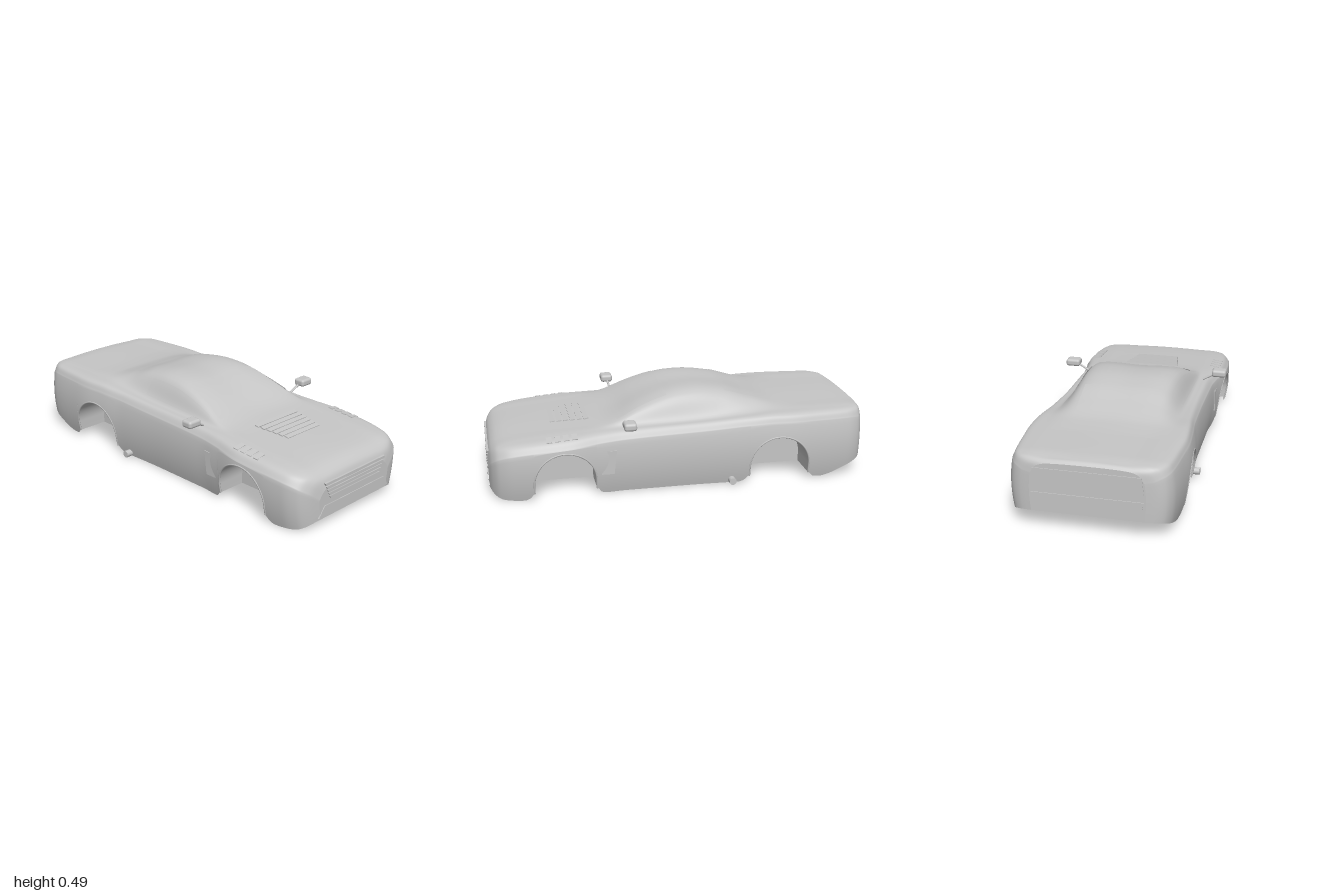
import * as THREE from 'three';
import { RoundedBoxGeometry } from 'three/addons/geometries/RoundedBoxGeometry.js';

// Smooth monotone curve through [x, value] keys
function curve(keys) {
  const n = keys.length;
  const sec = i => (keys[i + 1][1] - keys[i][1]) / (keys[i + 1][0] - keys[i][0]);
  const slope = i => {
    if (i === 0) return sec(0);
    if (i === n - 1) return sec(n - 2);
    const a = sec(i - 1), b = sec(i);
    return a * b <= 0 ? 0 : (2 * a * b) / (a + b);
  };
  return x => {
    let i = 0;
    while (i < n - 2 && x > keys[i + 1][0]) i++;
    const h = keys[i + 1][0] - keys[i][0];
    const t = Math.min(1, Math.max(0, (x - keys[i][0]) / h)), t2 = t * t, t3 = t2 * t;
    return (2 * t3 - 3 * t2 + 1) * keys[i][1] + (t3 - 2 * t2 + t) * h * slope(i)
      + (3 * t2 - 2 * t3) * keys[i + 1][1] + (t3 - t2) * h * slope(i + 1);
  };
}

// Centreline height, belt height, half widths and lower edge along the car
const topY = curve([[-1, .355], [-.985, .37], [-.9, .378], [-.7, .381], [-.55, .39], [-.4, .425], [-.25, .468],
  [-.1, .485], [0, .479], [.1, .456], [.2, .42], [.33, .362], [.4, .345], [.6, .325], [.8, .309], [.9, .296],
  [.95, .28], [.985, .25], [1, .21]]);
const beltY = curve([[-1, .345], [-.97, .366], [-.9, .374], [-.5, .376], [-.35, .367], [-.1, .352], [.2, .343],
  [.4, .334], [.6, .32], [.8, .304], [.9, .29], [.95, .272], [.985, .24], [1, .2]]);
const width = curve([[-1, .28], [-.99, .33], [-.96, .375], [-.9, .4], [-.75, .415], [-.6, .424], [-.45, .415],
  [-.3, .4], [0, .39], [.3, .39], [.42, .4], [.6, .424], [.75, .42], [.88, .405], [.95, .375], [.985, .325], [1, .27]]);
const roofZ = curve([[-1, .18], [-.6, .215], [-.3, .22], [0, .235], [.2, .257], [.35, .28], [.5, .23], [1, .2]]);
const sillY = curve([[-1, .1], [-.88, .05], [-.8, .018], [-.75, .008], [-.71, .012], [-.676, .04], [-.354, .04],
  [-.325, .012], [-.3, .005], [.4, .005], [.43, .012], [.454, .04], [.776, .04], [.8, .015], [.83, .002],
  [.93, .005], [.97, .02], [1, .045]]);

const R = 0.16, ARCHES = [[-.515, .095], [.615, .09]];
const UPPER = 32, LOWER = 12;

function lowerEdge(x) {
  for (const [cx, cy] of ARCHES) {
    const d = Math.abs(x - cx);
    if (d <= R + 1e-6) return cy + Math.sqrt(Math.max(0, R * R - d * d));
  }
  return sillY(x);
}

// Half width of the flank at height y
const sideZ = (x, y) => width(x) - (y < .2 ? .028 * ((.2 - y) / .2) ** 2 : .008 * ((y - .2) / .1) ** 2);
const flankTop = x => beltY(x) - .05;

// Upper cross-section: u = 0 centre, 1 roof edge, 2 belt, 3 shoulder, 4 top of flank
function section(x) {
  const c = topY(x), b = beltY(x), w = width(x);
  const zb = Math.min(.312, w - .06), zr = Math.min(roofZ(x), zb - .03);
  const yr = Math.max(b + .002, c - .004 - .1 * Math.max(0, c - .38));
  const yf = flankTop(x);
  const pts = [[-zr, yr], [0, c], [zr, yr], [zb, b], [w - .034, b - .012], [sideZ(x, yf), yf]];
  const spline = new THREE.CatmullRomCurve3(pts.map(([z, y]) => new THREE.Vector3(x, y, z)));
  return u => spline.getPoint((1 + u) / 5);
}

// Half outline from the lower edge up to the centre
function outline(x) {
  const at = section(x), yf = flankTop(x), y0 = Math.min(lowerEdge(x), yf - .002), pts = [];
  for (let k = 0; k < LOWER; k++) {
    const y = y0 + (yf - y0) * k / LOWER;
    pts.push([x, y, sideZ(x, y)]);
  }
  for (let k = 0; k <= UPPER; k++) {
    const p = at(4 - 4 * k / UPPER);
    pts.push([x, p.y, k === UPPER ? 0 : p.z]);
  }
  return pts;
}

// Surface from a grid of points
function grid(rows) {
  const m = rows[0].length, index = [];
  for (let i = 0; i < rows.length - 1; i++) for (let j = 0; j < m - 1; j++) {
    const a = i * m + j, b = a + m;
    index.push(a, b, b + 1, a, b + 1, a + 1);
  }
  const g = new THREE.BufferGeometry();
  g.setAttribute('position', new THREE.Float32BufferAttribute(rows.flat(2), 3));
  g.setIndex(index);
  g.computeVertexNormals();
  return g;
}

const range = (a, b, n) => Array.from({ length: n + 1 }, (_, i) => a + (b - a) * i / n);

export function createModel() {
  const car = new THREE.Group();
  car.name = 'car';
  const grey = new THREE.MeshStandardMaterial({ color: 0xc6c6c6, side: THREE.DoubleSide });
  grey.name = 'body grey';
  const add = (name, geo, x = 0, y = 0, z = 0) => {
    const mesh = new THREE.Mesh(geo, grey);
    mesh.name = name;
    mesh.position.set(x, y, z);
    car.add(mesh);
    return mesh;
  };

  // Body shell, open underneath, with the arches cut by its lower edge
  const xs = [[-1, -.6755], [-.675, -.355], [-.3545, .4545], [.455, .775], [.7755, 1]]
    .flatMap(([a, b]) => range(0, 1, 30).map(t => a + (b - a) * (1 - Math.cos(Math.PI * t)) / 2));
  add('bodyShell', grid(xs.map(x => {
    const half = outline(x).map(([px, y, z]) => [px * .996, y, z]);
    return [...half, ...half.slice(0, -1).reverse().map(([px, y, z]) => [px, y, -z])];
  })));

  // Flat nose and tail faces
  for (const s of [1, -1]) {
    const half = outline(s);
    add(s > 0 ? 'noseFace' : 'tailFace', grid([s, -s].map(k => half.map(([, y, z]) => [s * .996, y, z * k]))));
  }

  // Wheel wells and arch lips
  for (const s of [1, -1]) for (const [cx, cy] of ARCHES) {
    const arc = range(Math.PI, 0, 32).map(a => [cx + R * Math.cos(a), cy + R * Math.sin(a)]);
    const prof = [[cx - R, .04], ...arc, [cx + R, .04]];
    add('wheelWell', grid(prof.map(([x, y]) => [[x, y, s * (sideZ(x, y) - .001)], [x, y, s * .23]])));
    const wall = new THREE.Shape(prof.map(([x, y]) => new THREE.Vector2(x, y)));
    add('wheelWellWall', new THREE.ShapeGeometry(wall), 0, 0, s * .23);
    const path = new THREE.CatmullRomCurve3(prof.map(([x, y]) => new THREE.Vector3(x, y, s * (sideZ(x, y) - .002))));
    add('archLip', new THREE.TubeGeometry(path, 48, .005, 6));
  }

  // Glass panels lying just above the shell
  const panel = (name, x0, x1, u0, u1, s) => add(name, grid(range(x0, x1, 16).map(x => {
    const at = section(x);
    return range(u0(x), u1(x), 8).map(u => {
      const p = at(Math.abs(u));
      return [x * .996, p.y + .002, (u < 0 ? -1 : 1) * s * (p.z + .002)];
    });
  })));
  panel('windshield', .06, .33, () => .9, () => -.9, 1);
  panel('rearWindow', -.52, -.26, () => .9, () => -.9, 1);
  for (const s of [1, -1]) {
    panel('doorWindow', -.2, .28, () => 1.9, () => 1.22, s);
    panel('quarterWindow', -.4, -.215, () => 1.9, x => 1.22 + .5 * (-.215 - x) / .185, s);
  }

  // Trapezoid plate standing across the car at a given x
  const plate = (name, x, y0, y1, z0, z1, depth) => {
    const shape = new THREE.Shape([[-z0, y0], [z0, y0], [z1, y1], [-z1, y1]].map(p => new THREE.Vector2(...p)));
    const g = new THREE.ExtrudeGeometry(shape, { depth, bevelEnabled: false });
    add(name, g.rotateY(Math.PI / 2), x);
  };
  // Grille bars, lower intake, tail panel and rear bumper bar
  for (let k = 0; k < 5; k++) {
    const y = .138 + k * .019, half = .19 + k * .009;
    plate('grilleBar', .985, y, y + .013, half, half + .005, .015);
  }
  plate('lowerIntake', .992, .055, .11, .27, .23, .008);
  plate('tailPanel', -1, .24, .325, .27, .26, .006);
  plate('rearBumperBar', -1, .15, .2, .26, .27, .006);

  // Hood vent slats
  for (let k = 0; k < 6; k++) {
    const x = .475 + k * .035;
    add('hoodVentSlat', new THREE.BoxGeometry(.026, .006, .3 - k * .012), x, topY(x) + .001, 0).rotation.z = -.18;
  }

  for (const s of [1, -1]) {
    // Fender louvers
    for (let k = 0; k < 4; k++) {
      const x = .56 + k * .043;
      add('fenderLouver', new THREE.BoxGeometry(.028, .008, .055), x, beltY(x) - .006, s * .36).rotation.set(s * .2, 0, -.1);
    }
    // Side vent behind the front wheel
    const vent = new THREE.Shape([[.365, .115], [.43, .115], [.41, .24], [.35, .24]].map(p => new THREE.Vector2(...p)));
    add('sideVent', new THREE.ExtrudeGeometry(vent, { depth: .008, bevelEnabled: false }), 0, 0, s * .393 - .004);
    // Exhaust tip
    add('exhaustTip', new THREE.CylinderGeometry(.019, .019, .05, 20).rotateX(Math.PI / 2), -.26, .024, s * .388);
    // Mirror on its stalk
    add('mirror', new RoundedBoxGeometry(.065, .04, .08, 3, .014), .287, .381, s * .425);
    const stalk = new THREE.LineCurve3(new THREE.Vector3(.277, .338, s * .335), new THREE.Vector3(.285, .374, s * .4));
    add('mirrorStalk', new THREE.TubeGeometry(stalk, 1, .006, 8));
  }
  return car;
}
